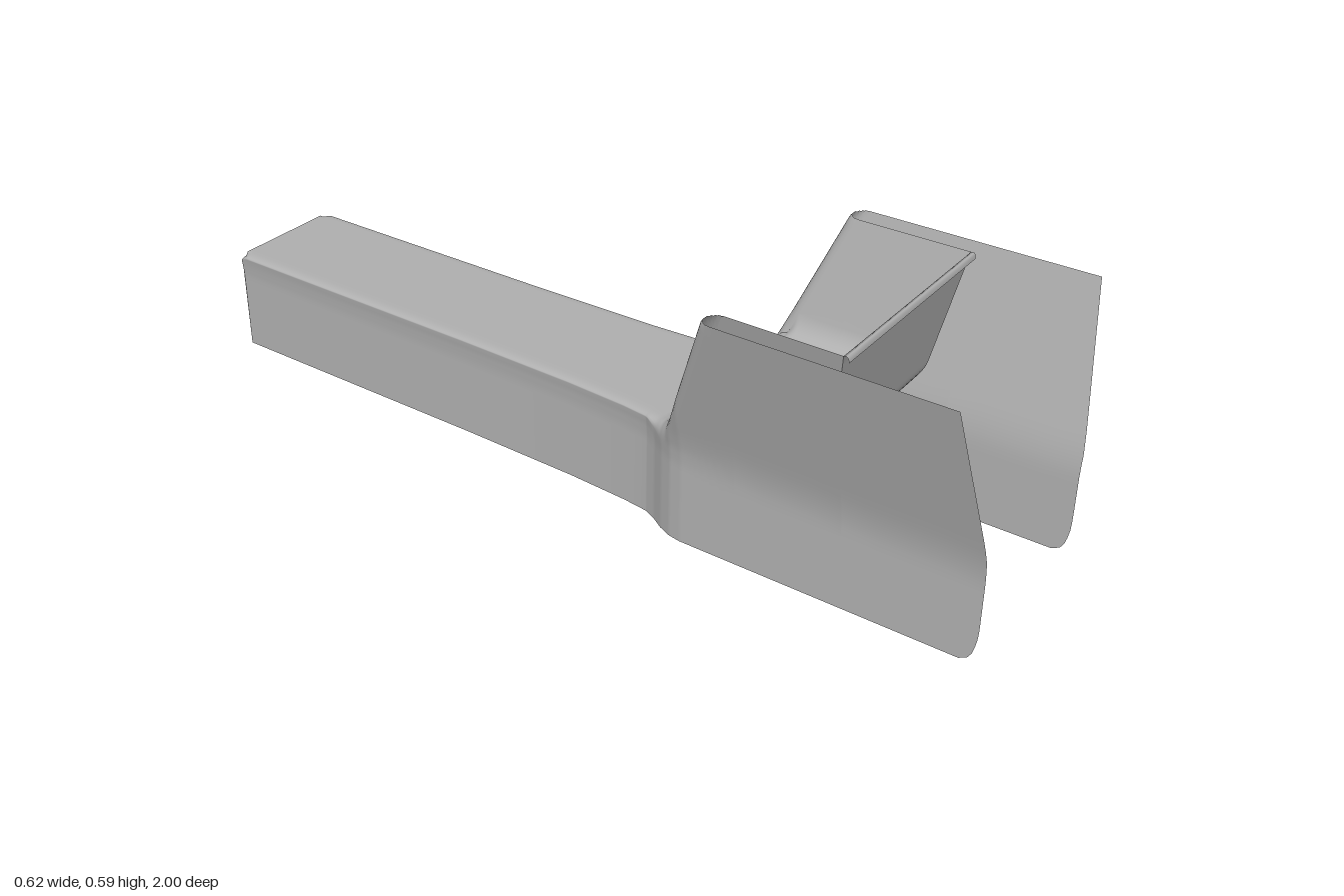
import * as THREE from 'three';

const TOP = 0.587;

// piecewise linear curve through [t, value] pairs
function curve(pairs) {
  return (t) => {
    if (t <= pairs[0][0]) return pairs[0][1];
    for (let i = 1; i < pairs.length; i++) {
      const [a, va] = pairs[i - 1], [b, vb] = pairs[i];
      if (t <= b) return va + (vb - va) * (t - a) / (b - a);
    }
    return pairs[pairs.length - 1][1];
  };
}

const baseWidth = curve([[-1, 0.143], [-0.3, 0.145], [0, 0.15], [0.15, 0.158], [0.21, 0.165],
  [0.24, 0.178], [0.27, 0.197], [0.3, 0.21], [0.33, 0.215]]);
const flare = curve([[0.19, 0], [0.225, 0.003], [0.26, 0.01], [TOP, 0.093]]);
const crest = curve([[-1, 0.238], [-0.99, 0.244], [-0.98, 0.246], [0.245, 0.246], [0.265, 0.25],
  [0.285, 0.265], [0.3, 0.293], [0.47, 0.72]]);
const noseHeight = curve([[0.22, 0.008], [0.32, 0.06]]);
const floorHeight = curve([[0.25, 0.246], [0.265, 0.25], [0.28, 0.262], [0.305, 0.3], [0.32, 0.311], [0.34, 0.315]]);
const frontEdge = curve([[0, 0.965], [0.006, 0.98], [0.02, 0.99], [0.05, 0.998], [0.08, 1], [0.24, 1], [0.28, 0.996], [TOP, 0.953]]);
const bucketFront = curve([[0.315, 0.63], [0.318, 0.642], [0.325, 0.65], [0.34, 0.657], [TOP, 0.7]]);

const outerX = (z, y) => baseWidth(z) + flare(y);

// inside wall of the bucket, rounding into the floor
function innerX(z, y, floor, radius) {
  const q = radius > 0 ? Math.min(1, Math.max(0, (floor + radius - y) / radius)) : 0;
  return outerX(z, y) - 0.05 - 0.028 * (1 - Math.sqrt(1 - q * q));
}

// smooth sheet through rows of points, leaving the rim open at the very top
function sheet(rows, openRim) {
  const n = rows[0].length, pos = rows.flat(2), index = [];
  const add = (...t) => {
    if (!openRim || t.some((v) => pos[v * 3 + 1] < TOP - 1e-4)) index.push(...t);
  };
  for (let i = 0; i < rows.length - 1; i++) {
    for (let j = 0; j < n - 1; j++) {
      const a = i * n + j, b = a + 1, c = a + n, d = c + 1;
      add(a, b, d);
      add(a, d, c);
    }
  }
  const g = new THREE.BufferGeometry();
  g.setAttribute('position', new THREE.Float32BufferAttribute(pos, 3));
  g.setIndex(index);
  g.computeVertexNormals();
  return g;
}

const wallSteps = 24;
const wallY = (k, height) => height * Math.pow(k / wallSteps, 1.3);

// half cross-section: outer wall, rounded rim, inner wall, floor
function halfSection(z) {
  const c = crest(z), h = noseHeight(z), f = floorHeight(z);
  const clip = (y) => Math.min(y, TOP);
  const pts = [];
  for (let k = 0; k <= wallSteps; k++) {
    const y = wallY(k, clip(c - h));
    pts.push([outerX(z, y), y, z]);
  }
  for (let k = 1; k <= 10; k++) {
    const a = Math.PI * k / 10;
    let y = c - h * (1 - Math.sin(a));
    if (k >= 5) y = Math.max(y, f);
    y = clip(y);
    pts.push([outerX(z, y) - 0.025 * (1 - Math.cos(a)), y, z]);
  }
  const start = Math.max(f, clip(c - h)), radius = Math.min(0.045, start - f);
  const wallZ = (y) => z <= 0.46 ? z : 0.46 + (bucketFront(y) - 0.46) * (z - 0.46) / 0.24;
  for (let k = 0; k <= 16; k++) {
    const y = k < 8 ? start + (f + radius - start) * k / 8
      : f + radius * (1 - Math.sin(Math.PI / 2 * (k - 8) / 8));
    pts.push([innerX(z, y, f, radius), y, wallZ(y)]);
  }
  const edge = pts[pts.length - 1];
  for (let k = 1; k <= 4; k++) pts.push([edge[0] * (1 - k / 4), f, edge[2]]);
  return pts;
}

function mirrorSection(half) {
  return [...half, ...half.slice(0, -1).reverse().map(([x, y, z]) => [-x, y, z])];
}

export function createModel() {
  const group = new THREE.Group();
  const grey = new THREE.MeshStandardMaterial({ color: 0xb0b0b0, side: THREE.DoubleSide });
  grey.name = 'matte grey';
  const add = (name, geometry) => {
    const mesh = new THREE.Mesh(geometry, grey);
    mesh.name = name;
    group.add(mesh);
  };

  // tunnel, step, bucket floor and bucket sides in one sweep
  const stations = [-1, -0.99, -0.98, -0.65, -0.3, -0.15, 0, 0.08, 0.15, 0.19];
  for (let z = 0.21; z < 0.459; z += 0.005) stations.push(z);
  stations.push(0.46, 0.52, 0.58, 0.64, 0.7);
  add('consoleShell', sheet(stations.map((z) => mirrorSection(halfSection(z))), true));

  // front parts of the flared side panels
  for (const side of [1, -1]) {
    const rows = [0, 0.25, 0.5, 0.75, 1].map((t) => {
      const row = [];
      for (let k = 0; k <= wallSteps; k++) {
        const y = wallY(k, TOP);
        row.push([side * outerX(0.7, y), y, 0.7 + (frontEdge(y) - 0.7) * t]);
      }
      return side > 0 ? row : row.reverse();
    });
    add(side > 0 ? 'leftSidePanel' : 'rightSidePanel', sheet(rows, false));
  }

  // front wall of the bucket with a folded lip
  const wall = [];
  for (let k = 0; k <= 20; k++) {
    const y = 0.315 + (TOP - 0.315) * Math.pow(k / 20, 1.8);
    wall.push([innerX(0.7, y, 0.315, 0.045), y, bucketFront(y)]);
  }
  const w = wall[20][0];
  wall.push([w, TOP + 0.001, 0.706], [w, TOP - 0.003, 0.71], [w - 0.002, TOP - 0.012, 0.711]);
  add('bucketFrontWall', sheet(wall.map(([x, y, z]) =>
    [1, 0.75, 0.5, 0.25, 0, -0.25, -0.5, -0.75, -1].map((s) => [x * s, y, z])), false));

  // back panel with an arched lower edge
  const end = halfSection(-1).filter((p) => p[1] > 0.2 && p[0] > 0.09);
  const shape = new THREE.Shape();
  shape.moveTo(-0.143, 0);
  shape.quadraticCurveTo(-0.135, 0.015, -0.09, 0.018);
  shape.quadraticCurveTo(0, 0.023, 0.09, 0.018);
  shape.quadraticCurveTo(0.135, 0.015, 0.143, 0);
  end.forEach(([x, y]) => shape.lineTo(x, y));
  [...end].reverse().forEach(([x, y]) => shape.lineTo(-x, y));
  const panel = new THREE.ShapeGeometry(shape);
  panel.rotateY(Math.PI);
  panel.translate(0, 0, -1);
  add('backPanel', panel);

  return group;
}
